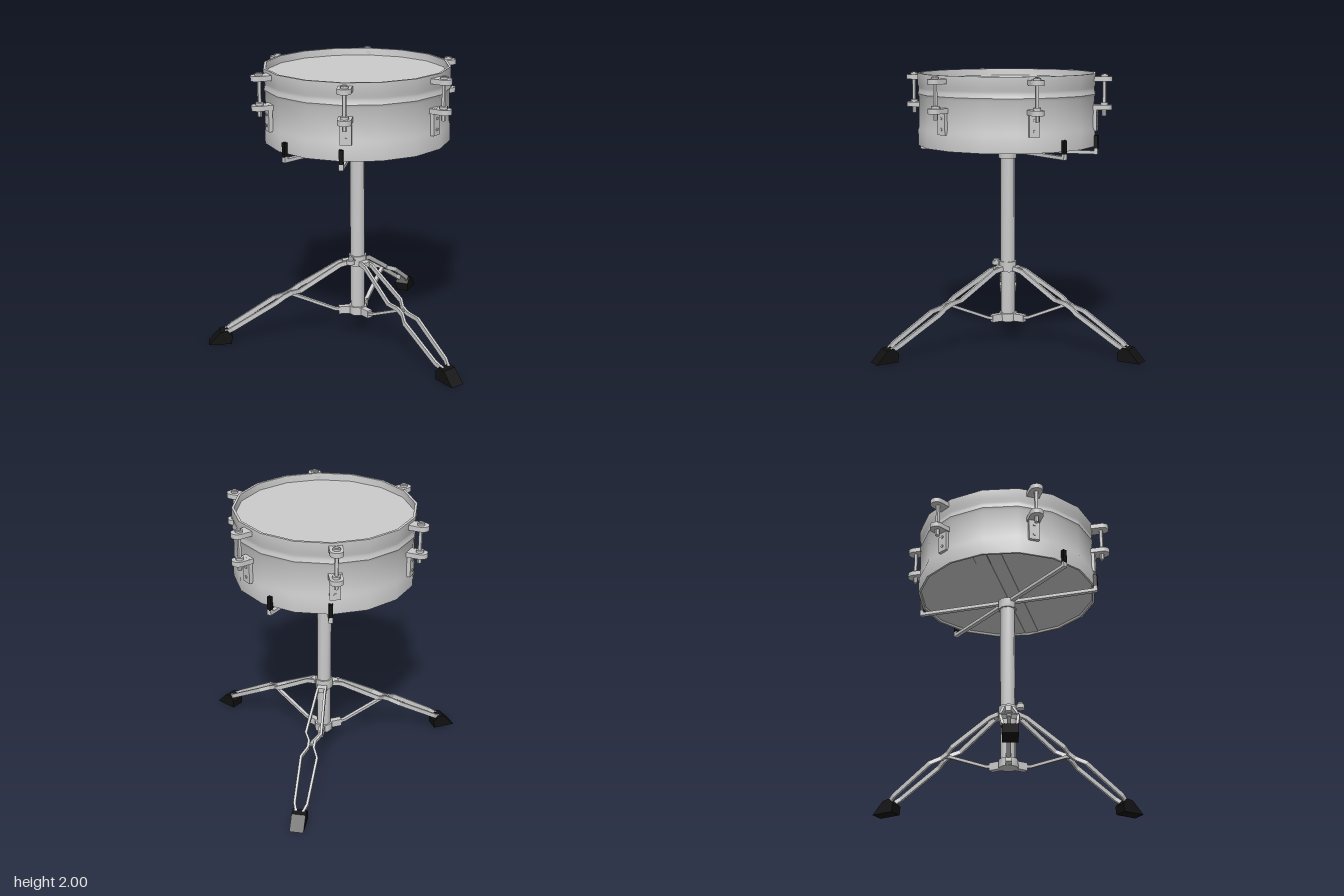
import * as THREE from 'three';
import { toCreasedNormals } from 'three/addons/utils/BufferGeometryUtils.js';

const metal = new THREE.MeshStandardMaterial({ color: 0xcccccc });
const rubber = new THREE.MeshStandardMaterial({ color: 0x111111 });
const rad = THREE.MathUtils.degToRad;

function add(parent, name, geometry, x = 0, y = 0, z = 0, material = metal) {
  const mesh = new THREE.Mesh(geometry, material);
  mesh.name = name;
  mesh.position.set(x, y, z);
  parent.add(mesh);
  return mesh;
}

const box = (w, h, d) => new THREE.BoxGeometry(w, h, d);
const cyl = (r, h, sides = 8) =>
  toCreasedNormals(new THREE.CylinderGeometry(r, r, h, sides), 0.9);

// Sixteen-sided turned part, smooth around and sharp at the corners of its profile
function turned(profile) {
  const points = profile.map(([r, y]) => new THREE.Vector2(r, y));
  return toCreasedNormals(new THREE.LatheGeometry(points, 16, rad(-3.2)), 0.6);
}

// Flat-sided bar along points [x, y, z], w wide across z and h thick
function bar(path, w, h) {
  const pos = [], index = [], last = path.length - 1;
  path.forEach(([x, y, z], i) => {
    const a = path[Math.max(i - 1, 0)], b = path[Math.min(i + 1, last)];
    const len = Math.hypot(b[0] - a[0], b[1] - a[1]);
    const nx = -(b[1] - a[1]) / len * h / 2, ny = (b[0] - a[0]) / len * h / 2;
    for (const [s, t] of [[-1, -1], [1, -1], [1, 1], [-1, 1]])
      pos.push(x + nx * t, y + ny * t, z + s * w / 2);
    if (i === last) return;
    for (let k = 0; k < 4; k++) {
      const p = i * 4 + k, q = i * 4 + (k + 1) % 4;
      index.push(p, p + 4, q + 4, p, q + 4, q);
    }
  });
  const e = last * 4;
  index.push(0, 1, 2, 0, 2, 3, e, e + 2, e + 1, e, e + 3, e + 2);
  const g = new THREE.BufferGeometry();
  g.setAttribute('position', new THREE.Float32BufferAttribute(pos, 3));
  g.setIndex(index);
  const flat = g.toNonIndexed();
  flat.computeVertexNormals();
  return flat;
}

// Side outline in x and y, extruded across z
function slab(outline, depth) {
  const shape = new THREE.Shape(outline.map(([x, y]) => new THREE.Vector2(x, y)));
  return new THREE.ExtrudeGeometry(shape, { depth, bevelEnabled: false })
    .translate(0, 0, -depth / 2);
}

// Group whose +x axis points outward at an angle, measured from +x towards +z
function spoke(parent, name, degrees) {
  const g = new THREE.Group();
  g.name = name;
  g.rotation.y = -rad(degrees);
  parent.add(g);
  return g;
}

function addDrum(parent) {
  const drum = new THREE.Group();
  drum.name = 'drum';
  parent.add(drum);
  add(drum, 'shell', turned([
    [0.625, 1.5], [0.63, 1.485], [0.645, 1.485], [0.645, 1.6], [0.637, 1.625],
    [0.637, 1.835], [0.645, 1.855], [0.637, 1.88], [0.637, 1.9], [0.645, 1.925],
    [0.645, 2], [0.627, 2], [0.622, 1.95]]));
  add(drum, 'topHead', turned([[0.625, 1.95], [0, 1.95]]));
  add(drum, 'bottomHead', turned([[0, 1.5], [0.628, 1.5]]));
  const wires = spoke(drum, 'snareWires', -21.3);
  for (const side of [-1, 1])
    add(wires, 'wireStrip', box(1.22, 0.006, 0.098), 0, 1.498, side * 0.051);
}

// Rounded clamp that grips the hoop
function earGeometry() {
  const s = new THREE.Shape();
  s.moveTo(0.62, -0.046);
  s.lineTo(0.715, -0.046);
  s.absarc(0.715, 0, 0.046, -Math.PI / 2, Math.PI / 2, false);
  s.lineTo(0.62, 0.046);
  return new THREE.ExtrudeGeometry(s, { depth: 0.035, bevelEnabled: false, curveSegments: 6 })
    .rotateX(-Math.PI / 2);
}

function addLug(parent, degrees) {
  const lug = spoke(parent, 'tensionLug', degrees);
  const r = 0.705;
  add(lug, 'hoopClamp', earGeometry(), 0, 1.945, 0);
  add(lug, 'rodHead', cyl(0.027, 0.018), r, 1.985, 0);
  add(lug, 'rodTip', cyl(0.016, 0.014), r, 1.993, 0);
  add(lug, 'tensionRod', cyl(0.014, 0.26), r, 1.83, 0);
  add(lug, 'rodReceiver', earGeometry(), 0, 1.745, 0);
  add(lug, 'receiverCollar', cyl(0.028, 0.02), r, 1.788, 0);
  add(lug, 'receiverNut', cyl(0.016, 0.05, 6), r, 1.728, 0);
  add(lug, 'lugPlate', box(0.028, 0.185, 0.075), 0.642, 1.688, 0);
  for (const y of [1.635, 1.71])
    add(lug, 'plateScrew', cyl(0.011, 0.008), 0.658, y, 0).rotation.z = Math.PI / 2;
}

function addBasketArm(parent, degrees) {
  const arm = spoke(parent, 'basketArm', degrees);
  add(arm, 'armBar', box(0.66, 0.024, 0.03), 0.33, 1.443, 0);
  add(arm, 'hookBase', box(0.026, 0.04, 0.03), 0.655, 1.451, 0);
  add(arm, 'rubberHook', box(0.026, 0.1, 0.028), 0.655, 1.515, 0, rubber);
}

function addLeg(parent, degrees) {
  const leg = spoke(parent, 'leg', degrees);
  // Twin bars that pinch together at the hinge and at the foot
  for (const s of [-1, 1]) {
    add(leg, 'legBar', bar([
      [0.06, 0.572, 0.026 * s], [0.13, 0.556, 0.03 * s], [0.42, 0.385, 0.056 * s],
      [0.48, 0.358, 0.022 * s], [0.53, 0.333, 0.022 * s], [0.6, 0.3, 0.058 * s],
      [0.91, 0.115, 0.045 * s], [0.97, 0.075, 0.02 * s]], 0.018, 0.032));
  }
  add(leg, 'topBracket', box(0.07, 0.035, 0.045), 0.075, 0.568, 0);
  add(leg, 'hingePin', cyl(0.01, 0.06), 0.505, 0.345, 0).rotation.x = Math.PI / 2;
  add(leg, 'brace', bar([[0.11, 0.2, 0], [0.17, 0.21, 0], [0.46, 0.335, 0],
    [0.51, 0.347, 0]], 0.028, 0.02));
  add(leg, 'braceBracket', box(0.1, 0.055, 0.042), 0.09, 0.2, 0);
  add(leg, 'rubberFoot', slab([[0.92, 0], [1.085, 0], [1.0, 0.09], [0.95, 0.1],
    [0.915, 0.06]], 0.1), 0, 0, 0, rubber);
}

function addPost(parent) {
  const post = new THREE.Group();
  post.name = 'post';
  parent.add(post);
  add(post, 'tube', cyl(0.054, 1.27, 8), 0, 0.805, 0);
  add(post, 'topCollar', cyl(0.066, 0.07, 8), 0, 1.418, 0);
  add(post, 'middleCollar', cyl(0.066, 0.075, 8), 0, 0.583, 0);
  add(post, 'bottomCollar', cyl(0.068, 0.06, 8), 0, 0.2, 0);
  // Height lock on the front of the middle collar
  add(post, 'lockScrew', cyl(0.014, 0.08), 0, 0.592, 0.085).rotation.x = Math.PI / 2;
  add(post, 'lockKnob', cyl(0.032, 0.03), 0, 0.595, 0.105);
  add(post, 'lockCap', cyl(0.022, 0.018), 0, 0.615, 0.105);
}

export function createModel() {
  const model = new THREE.Group();
  model.name = 'snareDrumOnStand';
  const body = new THREE.Group();
  body.name = 'drumAndStand';
  body.position.set(-0.05, 0, 0.19);
  model.add(body);
  addDrum(body);
  for (let i = 0; i < 6; i++) addLug(body, 8.7 + i * 60);
  for (const a of [71.2, 108.8, -71.2, -108.8]) addBasketArm(body, a);
  addPost(body);
  for (let i = 0; i < 3; i++) addLeg(body, 24.8 + i * 120);
  return model;
}
